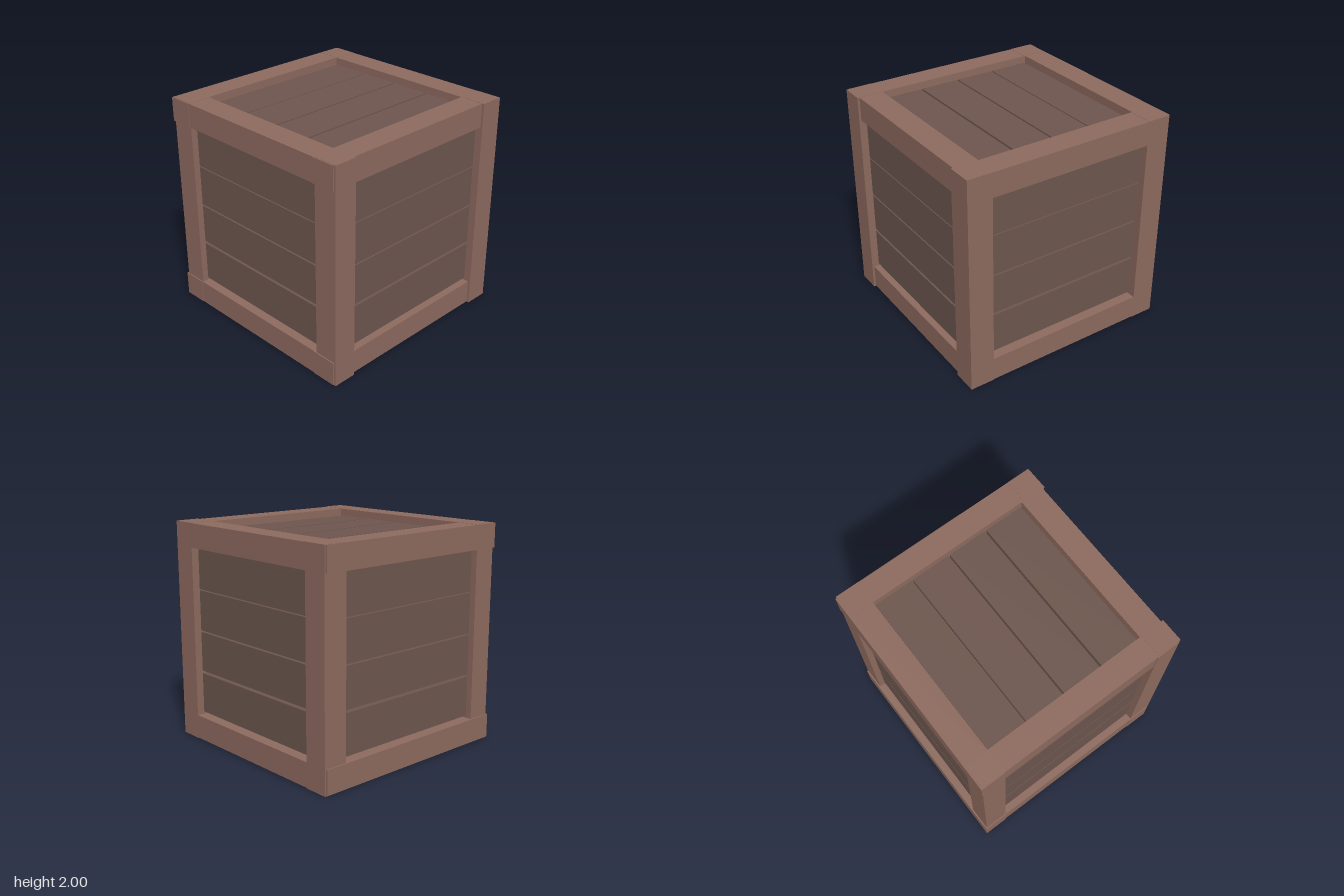
import * as THREE from 'three';

const frameMat = new THREE.MeshStandardMaterial({ color: 0x8d6a5e });
const plankMat = new THREE.MeshStandardMaterial({ color: 0x6d564e });

export function createModel() {
  const crate = new THREE.Group();
  crate.name = 'crate';

  // Box given by its extents along each axis
  function bar(name, mat, [x0, x1], [y0, y1], [z0, z1]) {
    const mesh = new THREE.Mesh(new THREE.BoxGeometry(x1 - x0, y1 - y0, z1 - z0), mat);
    mesh.position.set((x0 + x1) / 2, (y0 + y1) / 2, (z0 + z1) / 2);
    mesh.name = name;
    crate.add(mesh);
  }

  // Corner posts
  const leftX = [0.775, 1], rightX = [-0.99, -0.775];
  for (const [side, x] of [['Left', leftX], ['Right', rightX]]) {
    bar(`front${side}Post`, frameMat, x, [0, 2], [0.775, 1]);
    bar(`back${side}Post`, frameMat, x, [0, 2], [-0.987, -0.765]);
  }

  // Horizontal beams, slightly offset from the posts
  for (const [level, y] of [['top', [1.78, 1.998]], ['bottom', [0.005, 0.225]]]) {
    bar(`${level}FrontBeam`, frameMat, [-1, 0.99], y, [0.755, 0.98]);
    bar(`${level}BackBeam`, frameMat, [-1, 0.987], y, [-1, -0.775]);
    bar(`${level}LeftBeam`, frameMat, leftX, y, [-0.985, 0.98]);
    bar(`${level}RightBeam`, frameMat, [-0.995, -0.775], y, [-0.985, 0.98]);
  }

  // Recessed planks with narrow open gaps between them
  const inner = [0.86, 0.93], outer = [-0.93, -0.86], span = [-0.85, 0.85];
  const rows = [[0.245, 0.615], [0.64, 1.005], [1.02, 1.39], [1.4, 1.77]];
  for (const y of rows) {
    bar('frontPlank', plankMat, span, y, inner);
    bar('backPlank', plankMat, span, y, outer);
    bar('leftPlank', plankMat, inner, y, span);
    bar('rightPlank', plankMat, outer, y, span);
  }
  const columns = [[-0.765, -0.395], [-0.385, -0.02], [-0.005, 0.36], [0.378, 0.745]];
  for (const z of columns) {
    bar('topPlank', plankMat, span, [1.86, 1.93], z);
    bar('bottomPlank', plankMat, span, [0.07, 0.14], z);
  }
  return crate;
}
